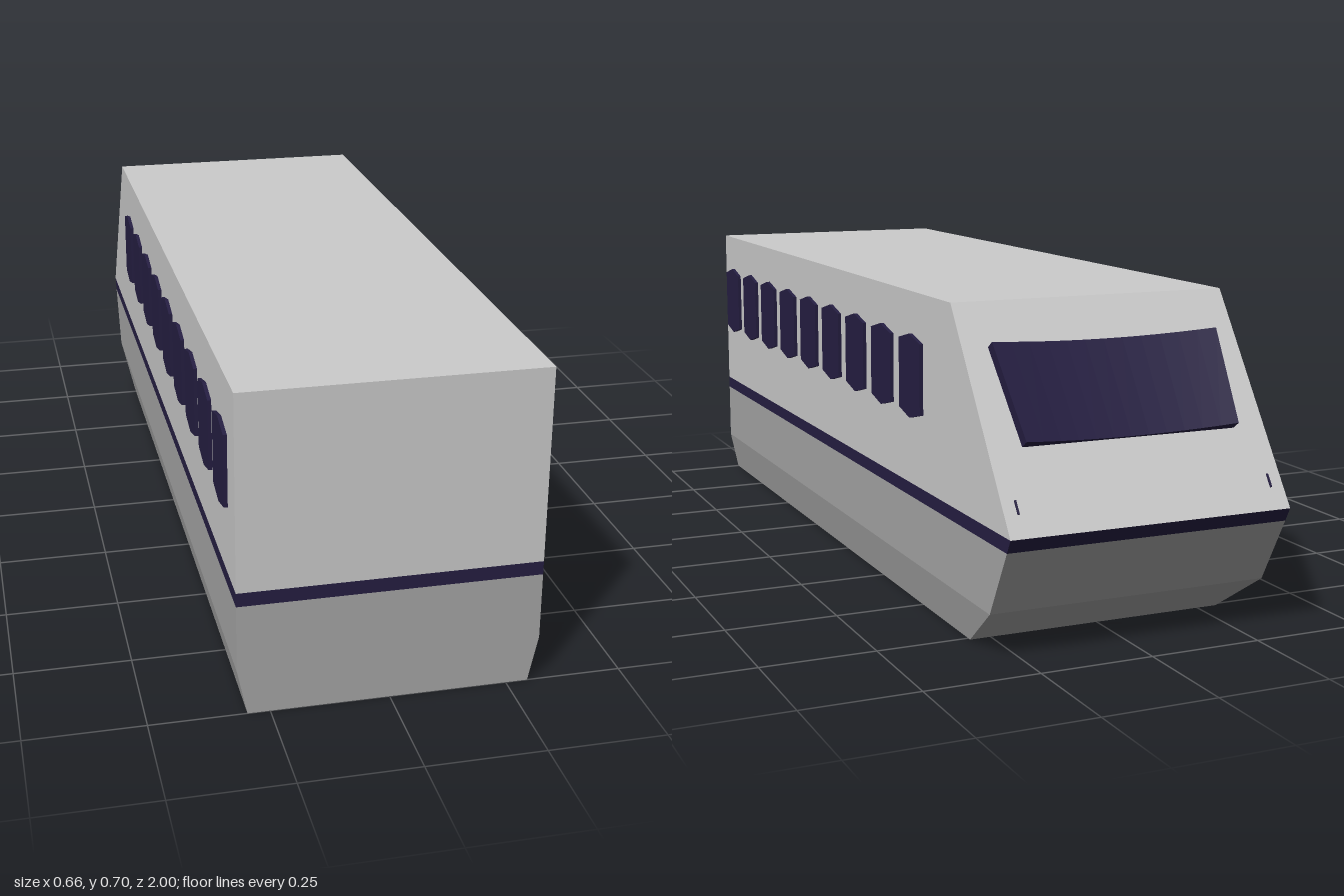
import * as THREE from 'three';

const grey = new THREE.MeshStandardMaterial({ color: 0xcccccc, flatShading: true });
const darkGrey = new THREE.MeshStandardMaterial({ color: 0xa6a6a6, flatShading: true });
const navy = new THREE.MeshStandardMaterial({ color: 0x251e42, flatShading: true });

const REAR = 1;
// Outline levels of the hull: height, half width, z of the nose
const LEVELS = [
  [0, 0.297, -0.76],
  [0.1, 0.318, -0.905],
  [0.246, 0.318, -0.984],
  [0.276, 0.318, -1],
  [0.7, 0.318, -0.705],
];

// Closed solid made by stacking rectangular levels
function hull(levels) {
  const pos = [];
  const rings = levels.map(([y, w, nose]) => [[-w, y, REAR], [w, y, REAR], [w, y, nose], [-w, y, nose]]);
  const quad = (a, b, c, d) => pos.push(...a, ...b, ...c, ...a, ...c, ...d);
  for (let i = 0; i < rings.length - 1; i++) {
    for (let j = 0; j < 4; j++) {
      const k = (j + 1) % 4;
      quad(rings[i][j], rings[i][k], rings[i + 1][k], rings[i + 1][j]);
    }
  }
  const [a, b, c, d] = rings[0];
  quad(d, c, b, a);
  quad(...rings[rings.length - 1]);
  const geo = new THREE.BufferGeometry();
  geo.setAttribute('position', new THREE.Float32BufferAttribute(pos, 3));
  geo.computeVertexNormals();
  return geo;
}

export function createModel() {
  const model = new THREE.Group();
  model.name = 'trainCar';
  const add = (name, geo, mat, parent = model) => {
    const mesh = new THREE.Mesh(geo, mat);
    mesh.name = name;
    parent.add(mesh);
    return mesh;
  };

  // Body in three stacked bands
  add('lowerBody', hull(LEVELS.slice(0, 3)), darkGrey);
  add('stripe', hull(LEVELS.slice(2, 4)), navy);
  add('upperBody', hull(LEVELS.slice(3)), grey);

  // Six-sided side windows, floating just off the walls
  const pane = new THREE.Shape([
    [-0.061, -0.077], [0, -0.092], [0.061, -0.077],
    [0.061, 0.077], [0, 0.092], [-0.061, 0.077],
  ].map(([x, y]) => new THREE.Vector2(x, y)));
  const paneGeo = new THREE.ExtrudeGeometry(pane, { depth: 0.008, bevelEnabled: false });
  paneGeo.translate(0, 0, -0.004).rotateY(Math.PI / 2);
  for (const side of [-1, 1]) {
    const row = new THREE.Group();
    row.name = side > 0 ? 'leftWindows' : 'rightWindows';
    model.add(row);
    for (let i = 0; i < 9; i++) {
      add('sideWindow', paneGeo, navy, row).position.set(side * 0.327, 0.519, 0.892 - i * 0.175);
    }
  }

  // Frame lying on the sloped nose: local y up the slope, local z outwards
  const nose = new THREE.Group();
  nose.name = 'noseFace';
  nose.position.set(0, 0.276, -1);
  const up = new THREE.Vector3(0, 0.424, 0.295).normalize();
  const right = new THREE.Vector3(-1, 0, 0);
  nose.quaternion.setFromRotationMatrix(
    new THREE.Matrix4().makeBasis(right, up, new THREE.Vector3().crossVectors(right, up)));
  model.add(nose);

  // Windscreen: tapered slab dished towards its middle
  const screen = new THREE.BoxGeometry(0.505, 0.222, 0.024, 12, 1, 1);
  const p = screen.attributes.position;
  for (let i = 0; i < p.count; i++) {
    const x = p.getX(i), t = x / 0.2525;
    p.setX(i, x * (1 + 0.14 * p.getY(i) / 0.222 * 2 * 0.25));
    p.setZ(i, p.getZ(i) - 0.019 * (1 - t * t));
  }
  screen.computeVertexNormals();
  add('windscreen', screen, navy, nose).position.set(0, 0.3, 0.013);

  // Slim marker lights at the lower corners of the nose
  for (const side of [-1, 1]) {
    add('noseLight', new THREE.BoxGeometry(0.004, 0.03, 0.006), navy, nose).position.set(side * 0.288, 0.065, 0);
  }

  return model;
}
